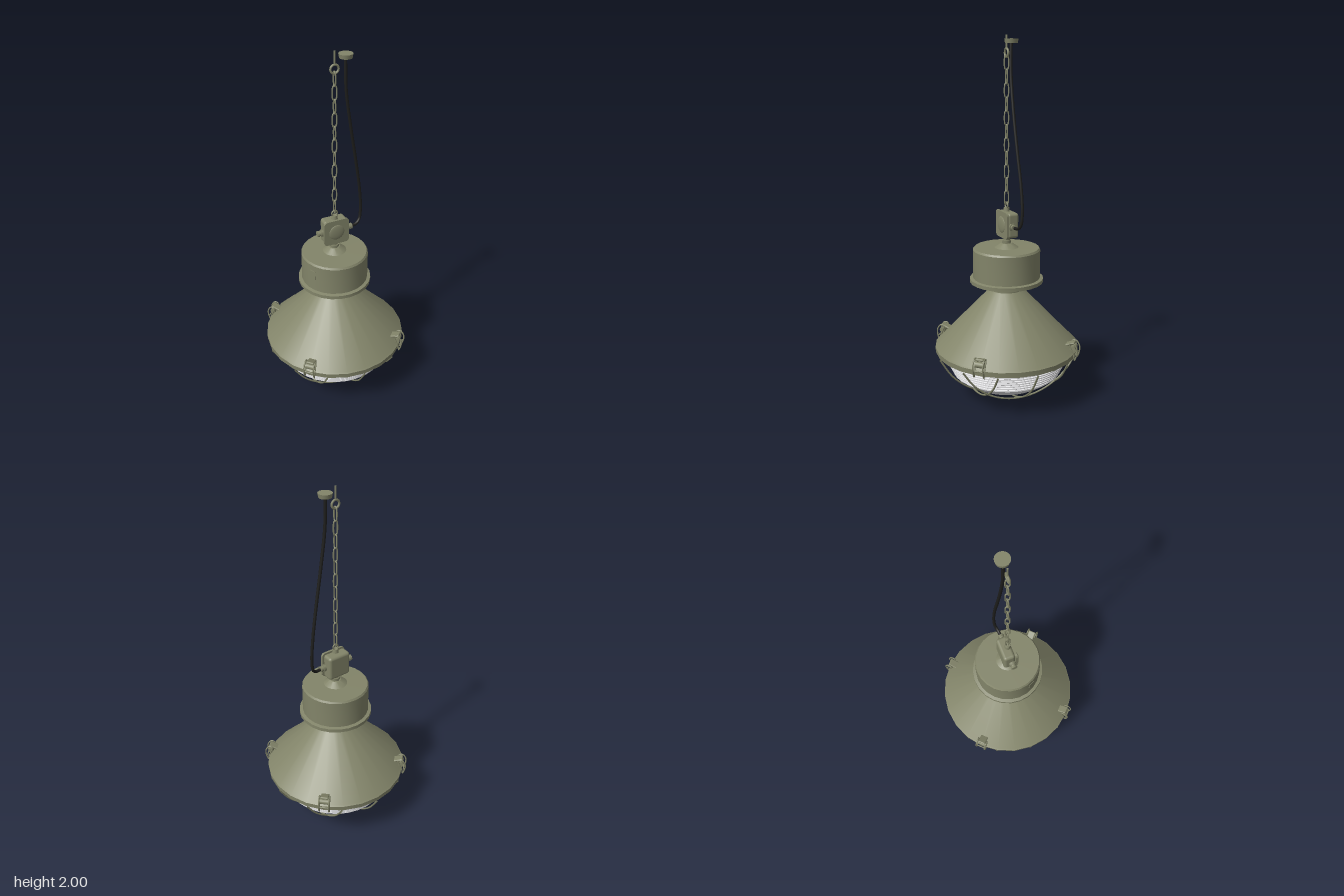
import * as THREE from 'three';
import { toCreasedNormals } from 'three/addons/utils/BufferGeometryUtils.js';
import { RoundedBoxGeometry } from 'three/addons/geometries/RoundedBoxGeometry.js';

const paint = (name, color, side = THREE.FrontSide) => {
  const m = new THREE.MeshStandardMaterial({ color, side });
  m.name = name;
  return m;
};
const V = (x, y, z) => new THREE.Vector3(x, y, z);

export function createModel() {
  const olive = paint('olive enamel', 0x828469, THREE.DoubleSide);
  const rubber = paint('black rubber', 0x1e1e1c);
  const glass = paint('frosted glass', 0xececee, THREE.DoubleSide);
  const lamp = new THREE.Group();
  lamp.name = 'pendantLamp';

  const add = (name, geo, mat, parent = lamp, x = 0, y = 0, z = 0) => {
    const m = new THREE.Mesh(geo, mat);
    m.name = name;
    m.position.set(x, y, z);
    parent.add(m);
    return m;
  };
  const lathe = (name, pts, mat, seg = 24) => add(name, toCreasedNormals(
    new THREE.LatheGeometry(pts.map(p => new THREE.Vector2(...p)), seg), 0.5), mat);
  const wire = (name, pts, r, mat, parent = lamp, closed = false, seg = 24) => add(name,
    new THREE.TubeGeometry(new THREE.CatmullRomCurve3(pts, closed), seg, r, 8, closed), mat, parent);
  // cylinder lying along x
  const barrel = (name, r, len, x, y, z, parent = lamp, seg = 16) => {
    const c = add(name, new THREE.CylinderGeometry(r, r, len, seg), olive, parent, x, y, z);
    c.rotation.z = Math.PI / 2;
  };

  // Reflector shade with rim and neck
  lathe('shade', [[0.37, 0.285], [0.385, 0.272], [0.403, 0.272], [0.405, 0.3], [0.395, 0.308],
    [0.098, 0.622], [0.093, 0.626], [0.093, 0.69]], olive);

  // Ballast housing: stepped underside, flange, drum and top hub
  lathe('housing', [[0.09, 0.69], [0.12, 0.69], [0.12, 0.682], [0.14, 0.682], [0.14, 0.69], [0.165, 0.69],
    [0.165, 0.68], [0.185, 0.68], [0.185, 0.672], [0.205, 0.672], [0.205, 0.692], [0.187, 0.696],
    [0.187, 0.855], [0.18, 0.865], [0.066, 0.866], [0.03, 0.89], [0, 0.89]], olive);
  const plate = add('ratingPlate', new THREE.BoxGeometry(0.04, 0.05, 0.004), olive, lamp, -0.169, 0.795, 0.08);
  plate.rotation.y = Math.atan2(-0.169, 0.08);

  // Stem below the junction box
  add('stemNut', new THREE.CylinderGeometry(0.026, 0.026, 0.016, 6), olive, lamp, 0, 0.898, 0);
  add('stem', new THREE.CylinderGeometry(0.018, 0.018, 0.06, 12), olive, lamp, 0, 0.91, 0);

  // Junction box with rounded lid, shallow boss and cable glands
  add('junctionBox', new RoundedBoxGeometry(0.136, 0.14, 0.066, 3, 0.016), olive, lamp, 0, 0.997, -0.012);
  const r = 0.02, w = 0.074 - r, outline = new THREE.Shape();
  for (let i = 0; i < 4; i++) {
    const sx = i === 0 || i === 3 ? 1 : -1, sy = i < 2 ? 1 : -1;
    outline.absarc(sx * w, sy * w, r, i * Math.PI / 2, (i + 1) * Math.PI / 2, false);
  }
  add('boxLid', new THREE.ExtrudeGeometry(outline, { depth: 0.012, bevelEnabled: false, curveSegments: 5 }),
    olive, lamp, 0, 0.997, 0.019);
  const boss = add('lidBoss', new THREE.SphereGeometry(0.046, 20, 8, 0, Math.PI * 2, 0, Math.PI / 2),
    olive, lamp, 0, 0.997, 0.03);
  boss.rotation.x = Math.PI / 2;
  boss.scale.y = 0.18;
  for (const s of [1, -1]) {
    barrel('glandBody', 0.014, 0.035, s * 0.084, 0.995, 0);
    barrel('glandNut', 0.02, 0.014, s * 0.077, 0.995, 0, lamp, 6);
    barrel('glandCap', 0.017, 0.01, s * 0.099, 0.995, 0, lamp, 8);
  }
  add('eyeBase', new THREE.CylinderGeometry(0.015, 0.018, 0.022, 12), olive, lamp, 0, 1.08, 0);
  add('boxEye', new THREE.TorusGeometry(0.016, 0.0045, 8, 16), olive, lamp, 0, 1.103, 0);

  // Suspension chain, links turned in alternation
  const link = [];
  for (const s of [1, -1]) {
    link.push(V(s * 0.011, -s * 0.025, 0), V(s * 0.011, s * 0.025, 0),
      V(s * 0.008, s * 0.034, 0), V(0, s * 0.037, 0), V(-s * 0.008, s * 0.034, 0));
  }
  for (let i = 0; i < 11; i++) {
    const l = wire('chainLink', link, 0.004, olive, lamp, true, 32);
    l.position.y = 1.861 - i * 0.0717;
    if (i % 2 === 0) l.rotation.y = Math.PI / 2;
  }
  add('ceilingEye', new THREE.TorusGeometry(0.022, 0.006, 8, 20), olive, lamp, 0, 1.91, 0);
  add('ceilingRod', new THREE.CylinderGeometry(0.0045, 0.0045, 0.07, 8), olive, lamp, 0, 1.965, 0);

  // Ceiling rose and power cable
  add('ceilingRose', new THREE.CylinderGeometry(0.037, 0.033, 0.022, 20), olive, lamp, 0.06, 1.969, 0);
  wire('powerCable', [V(0.058, 1.965, 0), V(0.062, 1.8, 0.002), V(0.09, 1.6, 0), V(0.125, 1.4, -0.006),
    V(0.155, 1.22, -0.014), V(0.166, 1.08, -0.016), V(0.155, 1.015, -0.012), V(0.13, 0.996, -0.005),
    V(0.095, 0.995, 0)], 0.0085, rubber, lamp, false, 60);

  // Glass bowl: smooth dish with ridged sides
  const bowl = [];
  for (let i = 0; i <= 10; i++) {
    const t = i / 10;
    bowl.push([0.298 * t, 0.024 + 0.114 * t ** 2.1]);
  }
  const ridges = 9;
  for (let i = 0; i < ridges; i++) {
    const t = i / ridges, x = 0.3 + 0.075 * t, y = 0.141 + 0.15 * t;
    bowl.push([x + 0.006, y + 0.003], [x + 0.006, y + 0.01], [x, y + 0.012]);
  }
  lathe('glassBowl', bowl, glass, 32);

  // Wire guard: three arcs each way on a spherical cap
  const guard = new THREE.Group();
  guard.name = 'wireGuard';
  lamp.add(guard);
  const R = 0.4385, cy = 0.4435;
  for (const turn of [0, Math.PI / 2]) {
    for (const off of [-0.205, 0, 0.205]) {
      const half = Math.sqrt(0.4 ** 2 - off * off), pts = [];
      for (let i = 0; i <= 12; i++) {
        const x = half * (i / 6 - 1);
        pts.push(V(x, cy - Math.sqrt(R * R - x * x - off * off), off));
      }
      wire('guardWire', pts, 0.005, olive, guard, false, 32).rotation.y = turn;
    }
  }

  // Four toggle clips around the rim
  for (let k = 0; k < 4; k++) {
    const clip = new THREE.Group();
    clip.name = 'rimClip';
    clip.rotation.y = Math.PI / 4 + k * Math.PI / 2;
    lamp.add(clip);
    const lever = add('clipLever', new RoundedBoxGeometry(0.046, 0.014, 0.066, 2, 0.006), olive, clip, 0, 0.35, 0.373);
    lever.rotation.x = -0.35;
    barrel('clipBarrel', 0.016, 0.05, 0, 0.33, 0.394, clip);
    for (const s of [1, -1]) {
      wire('clipBail', [V(s * 0.028, 0.265, 0.408), V(s * 0.028, 0.30, 0.421), V(s * 0.028, 0.335, 0.421),
        V(s * 0.028, 0.362, 0.402), V(s * 0.028, 0.358, 0.38), V(s * 0.028, 0.325, 0.39),
        V(s * 0.028, 0.285, 0.406)], 0.0042, olive, clip, true, 28);
    }
    barrel('clipCrossbar', 0.004, 0.058, 0, 0.3, 0.413, clip, 8);
  }
  return lamp;
}
